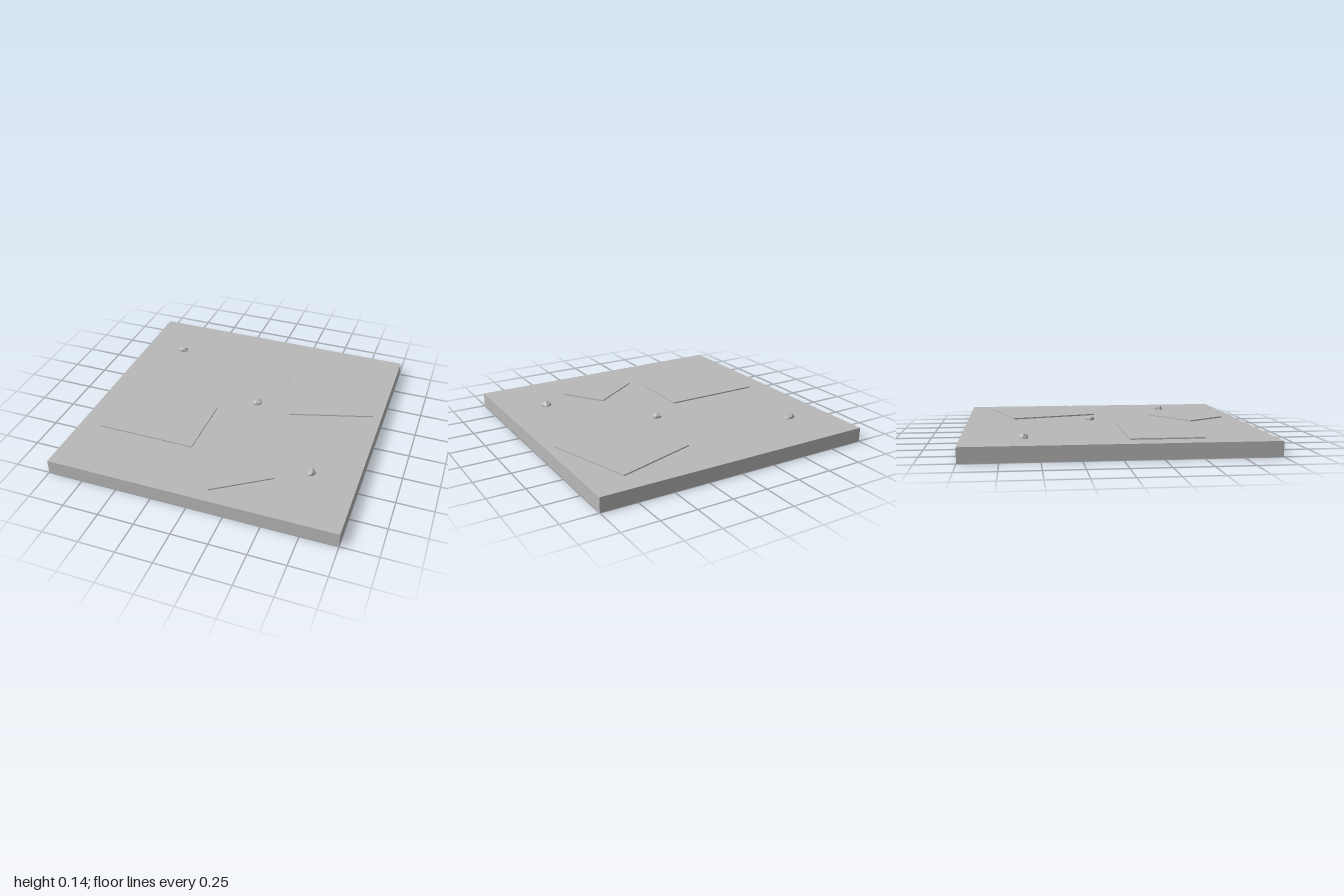
import * as THREE from 'three';

export function createModel() {
  const model = new THREE.Group();
  const stone = new THREE.MeshStandardMaterial({ color: 0xb8b8b8, flatShading: true });
  stone.name = 'grey stone';

  const add = (name, geometry, x, y, z) => {
    const mesh = new THREE.Mesh(geometry, stone);
    mesh.name = name;
    mesh.position.set(x, y, z);
    model.add(mesh);
    return mesh;
  };

  // Square ground slab
  const top = 0.1;
  add('groundSlab', new THREE.BoxGeometry(2, top, 2), 0, top / 2, 0);

  // Thin flagstones lying on the slab: x, z, width, depth, turn
  const thickness = 0.009;
  [
    [-0.5, 0.3, 0.7, 0.48, 0],
    [0.56, -0.44, 0.6, 0.64, 0.3],
    [0.2, 0.64, 0.44, 0.34, 0.6],
  ].forEach(([x, z, width, depth, turn], i) => {
    const plate = add(`flagstone${i + 1}`, new THREE.BoxGeometry(width, thickness, depth),
      x, top + thickness / 2, z);
    plate.rotation.y = turn;
  });

  // Half-buried faceted pebbles: x, z, turn, tilt, stretch
  [
    [-0.705, -0.6, 0.1, 0, [1.08, 0.85, 0.85]],
    [0.1, -0.105, 1.57, 0.5, [1, 0.8, 1]],
    [0.68, 0.517, 0.7, 0.15, [1, 0.9, 1]],
  ].forEach(([x, z, turn, tilt, stretch], i) => {
    const rock = new THREE.IcosahedronGeometry(0.04, 0);
    rock.rotateZ(tilt);
    rock.rotateY(turn);
    rock.scale(...stretch);
    rock.computeVertexNormals();
    add(`pebble${i + 1}`, rock, x, top + 0.002, z);
  });

  return model;
}
